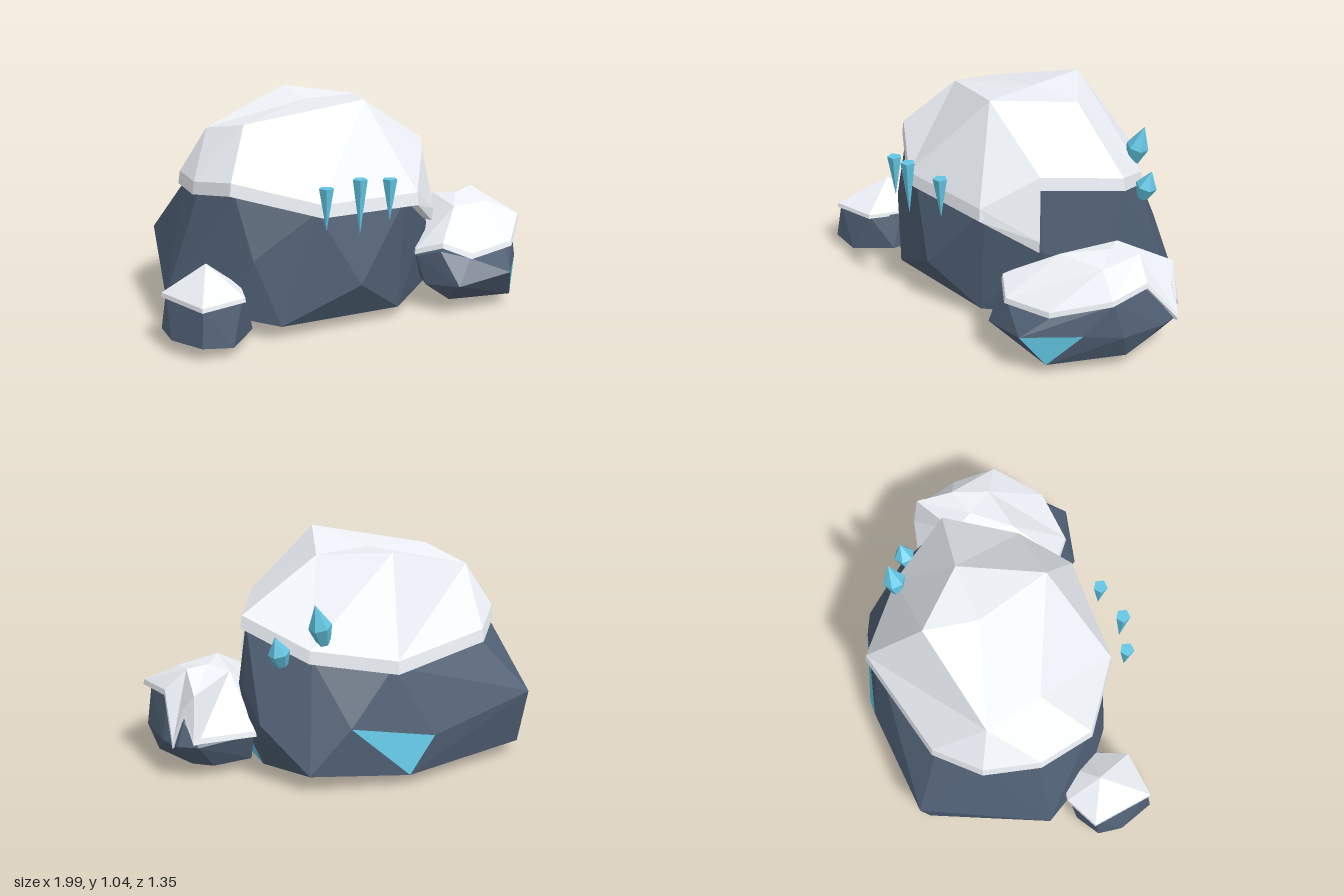
import * as THREE from 'three';
import { ConvexGeometry } from 'three/addons/geometries/ConvexGeometry.js';

const mat = (color, side = THREE.FrontSide) =>
  new THREE.MeshStandardMaterial({ color, flatShading: true, side });
const stone = mat(0x4e5e72);
const snow = mat(0xeef2f8, THREE.DoubleSide);
const ice = mat(0x62c6e4);
const vec = (p) => new THREE.Vector3(...p);

function mesh(name, geometry, material) {
  const m = new THREE.Mesh(geometry, material);
  m.name = name;
  return m;
}

function fromTriangles(points) {
  const g = new THREE.BufferGeometry().setFromPoints(points);
  g.computeVertexNormals();
  return g;
}

// Faceted boulder; the facet nearest to each ice spot becomes an ice face
function boulder(points, iceSpots = []) {
  const pos = new ConvexGeometry(points.map(vec)).getAttribute('position');
  const faces = [];
  for (let i = 0; i < pos.count; i += 3) {
    const tri = [0, 1, 2].map((k) => new THREE.Vector3().fromBufferAttribute(pos, i + k));
    const mid = tri[0].clone().add(tri[1]).add(tri[2]).divideScalar(3);
    faces.push({ tri, mid });
  }
  const icy = new Set(iceSpots.map(vec).map((s) =>
    faces.reduce((a, b) => (a.mid.distanceTo(s) < b.mid.distanceTo(s) ? a : b))));
  const pick = (test) => fromTriangles(faces.filter(test).flatMap((f) => f.tri));
  const group = new THREE.Group();
  group.add(mesh('stone', pick((f) => !icy.has(f)), stone));
  if (icy.size) group.add(mesh('iceFacets', pick((f) => icy.has(f)), ice));
  return group;
}

// Snow blanket: shelf, thick lip, slope up to the crown ring, then its centre
function snowCap(rim, crown, crownIndex, peak, lip) {
  const n = rim.length;
  const cx = rim.reduce((s, p) => s + p[0], 0) / n;
  const cz = rim.reduce((s, p) => s + p[2], 0) / n;
  const ring = (k, dy) => rim.map(([x, y, z]) =>
    vec([cx + (x - cx) * k, y + dy, cz + (z - cz) * k]));
  const rings = [ring(0.85, -lip), ring(1.015, -lip), ring(1, 0),
    crownIndex.map((i) => vec(crown[i])), rim.map(() => vec(peak))];
  const tris = [];
  const add = (a, b, c) => {
    if (!a.equals(b) && !b.equals(c) && !c.equals(a)) tris.push(a, b, c);
  };
  for (let r = 0; r < rings.length - 1; r++) {
    for (let i = 0; i < n; i++) {
      const j = (i + 1) % n;
      const [lo, hi] = [rings[r], rings[r + 1]];
      add(lo[i], lo[j], hi[j]);
      add(lo[i], hi[j], hi[i]);
    }
  }
  return mesh('snowCap', fromTriangles(tris), snow);
}

function snowyRock(name, ...parts) {
  const g = new THREE.Group();
  g.name = name;
  g.add(...parts);
  return g;
}

export function createModel() {
  const model = new THREE.Group();

  // Large central boulder, with a tongue of snow hanging down its front left corner
  model.add(snowyRock('mainRock', boulder([
    [-0.33, 0.58, 0.40], [0.16, 0.565, 0.42], [0.37, 0.71, 0.26], [0.60, 0.70, -0.02],
    [0.45, 0.58, -0.34], [0.16, 0.55, -0.57], [-0.40, 0.57, -0.50], [-0.58, 0.62, -0.34],
    [-0.66, 0.62, -0.09], [-0.63, 0.66, 0.18],
    [-0.15, 0.23, 0.50], [-0.60, 0.37, 0.28], [0.40, 0.40, 0.29], [0.64, 0.40, -0.05],
    [0.67, 0.28, -0.24], [0.38, 0.29, -0.55], [0.0, 0.22, -0.675], [-0.57, 0.32, -0.67],
    [-0.84, 0.15, -0.10], [-0.68, 0.10, 0.20],
    [0.13, 0.05, 0.42], [-0.50, 0.06, 0.36], [0.60, 0.05, -0.15], [0.62, 0.27, 0.05],
    [0.52, 0.05, 0.15], [0.56, 0.08, -0.48], [0.13, 0.05, -0.66], [-0.55, 0.06, -0.62],
    [-0.10, 0, 0], [0.10, 0.02, -0.40], [-0.45, 0.02, 0.05],
  ], [[0.17, 0.187, -0.628], [0.58, 0.123, 0.017]]), snowCap([
    [-0.33, 0.625, 0.44], [0.19, 0.615, 0.48], [0.38, 0.765, 0.28],
    [0.62, 0.74, -0.02], [0.46, 0.62, -0.34], [0.17, 0.59, -0.62], [-0.40, 0.62, -0.52],
    [-0.60, 0.67, -0.35], [-0.68, 0.68, -0.09], [-0.65, 0.72, 0.18],
  ], [
    [-0.46, 0.935, 0], [0.04, 1.04, 0.26], [0.26, 0.99, -0.10],
    [0.02, 1.02, -0.37], [-0.49, 0.88, -0.28],
  ], [0, 1, 1, 2, 2, 3, 4, 4, 4, 0], [-0.03, 0.995, -0.11], 0.06),
  mesh('snowTongue', new ConvexGeometry([
    [0.19, 0.615, 0.48], [0.19, 0.555, 0.487], [0.42, 0.47, 0.325], [0.415, 0.41, 0.32],
    [0.38, 0.765, 0.28], [0.385, 0.705, 0.283], [0.20, 0.55, 0.36], [0.38, 0.42, 0.29],
  ].map(vec)), snow)));

  // Medium boulder at the front left
  model.add(snowyRock('mediumRock', boulder([
    [0.45, 0.27, 0.57], [0.70, 0.28, 0.54], [0.90, 0.34, 0.36], [0.92, 0.35, 0.17],
    [0.93, 0.28, 0.0], [0.63, 0.19, -0.12], [0.34, 0.30, 0.48], [0.29, 0.26, 0.36],
    [0.62, 0.195, 0.67], [0.825, 0.20, 0.475], [0.70, 0.05, 0.58], [0.36, 0.15, 0.60],
    [0.30, 0.13, 0.42], [0.38, 0.06, 0.50], [0.91, 0.06, 0.28], [0.94, 0.18, 0.33],
    [0.98, 0.17, 0.11], [0.97, 0.17, -0.01], [0.90, 0.17, -0.08], [0.88, 0.06, 0.02],
    [0.62, 0.06, -0.08], [0.80, 0.05, -0.04], [0.66, 0.03, 0.25],
  ], [[0.715, 0.148, 0.575]]), snowCap([
    [0.45, 0.295, 0.58], [0.71, 0.315, 0.57], [0.92, 0.38, 0.39], [0.93, 0.39, 0.17],
    [0.985, 0.185, 0.01], [0.93, 0.34, 0.0], [0.92, 0.21, -0.07], [0.89, 0.215, -0.08],
    [0.64, 0.22, -0.155], [0.45, 0.32, 0.10], [0.285, 0.295, 0.36], [0.345, 0.345, 0.49],
  ], [
    [0.55, 0.46, 0.33], [0.78, 0.45, 0.30], [0.84, 0.485, 0.12],
    [0.90, 0.41, -0.05], [0.65, 0.46, 0.05],
  ], [0, 1, 1, 2, 2, 3, 3, 3, 4, 4, 0, 0], [0.70, 0.475, 0.16], 0.025)));

  // Small boulder at the right
  model.add(snowyRock('smallRock', boulder([
    [-0.95, 0.23, 0.09], [-0.80, 0.23, 0.02], [-0.63, 0.23, 0.08], [-0.63, 0.23, 0.24],
    [-0.72, 0.23, 0.37], [-0.93, 0.23, 0.38],
    [-1.0, 0.06, 0.22], [-0.95, 0.06, 0.40], [-0.80, 0.04, 0.42], [-0.62, 0.06, 0.30],
    [-0.60, 0.06, 0.10], [-0.86, 0.06, 0.04], [-0.98, 0.08, 0.10], [-0.80, 0.03, 0.22],
  ]), snowCap([
    [-0.94, 0.24, 0.39], [-0.71, 0.245, 0.38], [-0.62, 0.24, 0.20], [-0.62, 0.24, 0.05],
    [-0.80, 0.245, 0.01], [-0.965, 0.24, 0.08],
  ], [[-0.79, 0.37, 0.18]], [0, 0, 0, 0, 0, 0], [-0.79, 0.37, 0.18], 0.02)));

  // Hanging icicles: [x, top, z, length]
  for (const [x, top, z, len] of [
    [-0.355, 0.72, 0.505, 0.20], [-0.205, 0.75, 0.555, 0.26], [-0.015, 0.72, 0.53, 0.20],
  ]) {
    const icicle = mesh('icicle', new THREE.ConeGeometry(0.035, len, 5), ice);
    icicle.rotation.x = Math.PI;
    icicle.position.set(x, top - len / 2, z);
    model.add(icicle);
  }

  // Ice crystals leaning out of the slope: [x, y, z, height, width]
  const profile = [[0, -0.5], [0.55, -0.46], [1, -0.04], [0, 0.5]]
    .map(([r, y]) => new THREE.Vector2(r, y));
  for (const [x, y, z, h, w] of [
    [0.42, 0.74, -0.36, 0.21, 0.055], [0.57, 0.615, -0.25, 0.155, 0.052],
  ]) {
    const crystal = mesh('iceCrystal', new THREE.LatheGeometry(profile, 6), ice);
    crystal.scale.set(w, h, w);
    crystal.rotation.set(-0.08, 0, -0.3);
    crystal.position.set(x, y, z);
    model.add(crystal);
  }

  return model;
}
